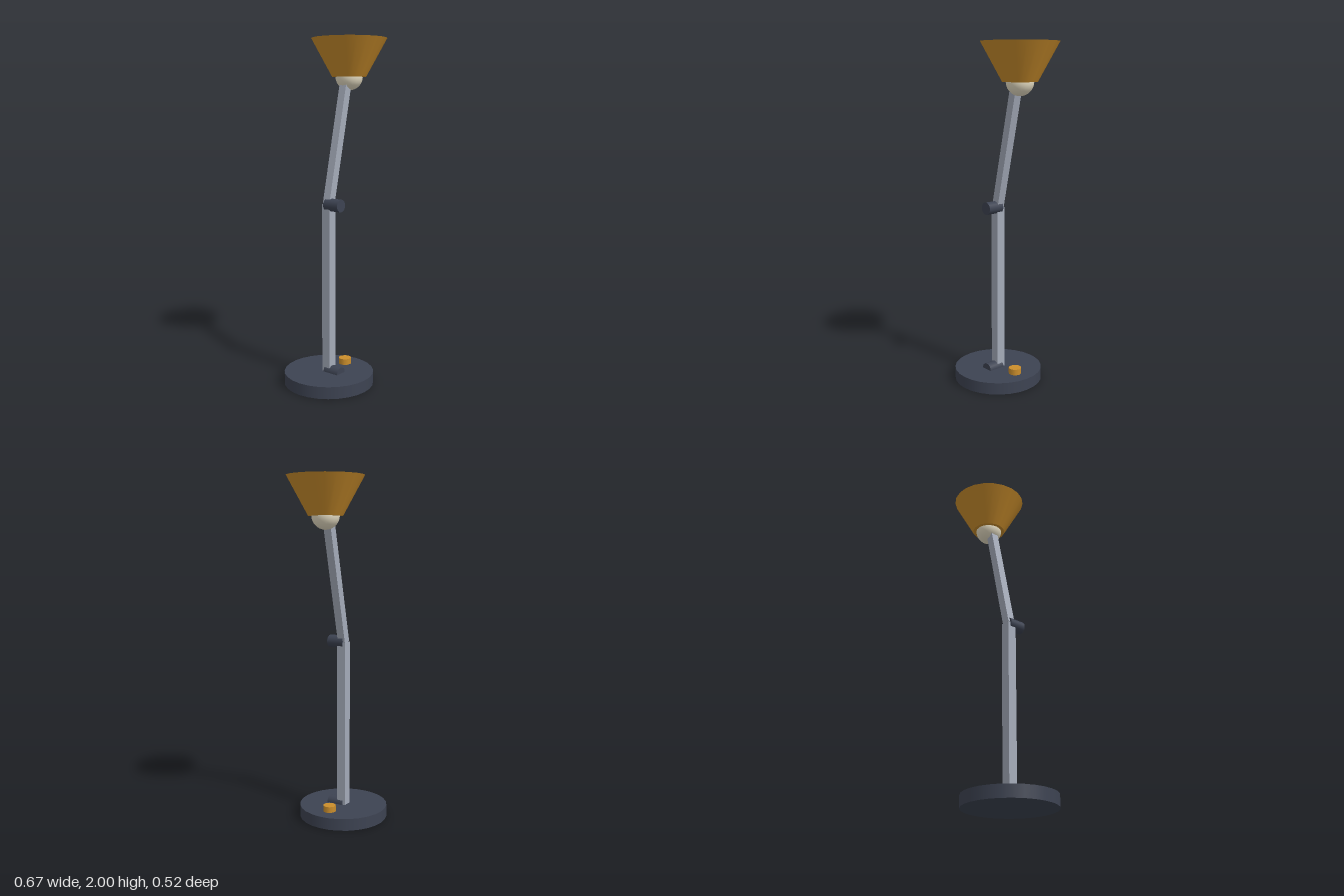
import * as THREE from 'three';

const material = (name, color) => Object.assign(new THREE.MeshStandardMaterial({ color }), { name });

export function createModel() {
  const charcoal = material('charcoal', 0x3d4352);
  const steel = material('steel', 0xa4abb9);
  const amber = material('amber', 0xcb8e2c);
  const cream = material('cream', 0xe9e0c6);

  const lamp = new THREE.Group();
  lamp.name = 'deskLamp';

  const add = (name, geometry, mat, x, y, z = 0) => {
    const mesh = new THREE.Mesh(geometry, mat);
    mesh.name = name;
    mesh.position.set(x, y, z);
    lamp.add(mesh);
    return mesh;
  };

  const postX = -0.073, baseTop = 0.07, elbowY = 1.06;
  const headX = 0.115, headY = 1.89;

  // Square bar running between two points in the x-y plane
  const bar = (name, width, x0, y0, x1, y1) => {
    const length = Math.hypot(x1 - x0, y1 - y0);
    const mesh = add(name, new THREE.BoxGeometry(width, length, width), steel, (x0 + x1) / 2, (y0 + y1) / 2);
    mesh.rotation.z = -Math.atan2(x1 - x0, y1 - y0);
  };

  // Round weighted base
  add('base', new THREE.CylinderGeometry(0.262, 0.262, baseTop, 28), charcoal, postX, baseTop / 2);

  // Two arm sections
  bar('lowerArm', 0.055, postX, baseTop, postX, elbowY);
  bar('upperArm', 0.048, postX, elbowY, headX, headY);

  // Hinge pins, standing out towards the front
  for (const [name, y] of [['baseHinge', baseTop], ['elbowHinge', elbowY]]) {
    const pin = new THREE.CylinderGeometry(0.037, 0.037, 0.102, 14).rotateX(Math.PI / 2);
    add(name, pin, charcoal, postX, y, 0.04);
  }

  // Flared shade, wide end up, with the bulb showing at the narrow end
  add('shade', new THREE.CylinderGeometry(0.218, 0.098, 0.218, 22).rotateY(Math.PI / 2), amber, headX, 1.891);
  add('bulb', new THREE.SphereGeometry(0.079, 20, 14), cream, headX, 1.784);

  // Switch knob on the base
  add('switchKnob', new THREE.CylinderGeometry(0.038, 0.038, 0.035, 10).rotateY(Math.PI / 2), amber, 0.08, baseTop + 0.0175);

  return lamp;
}
